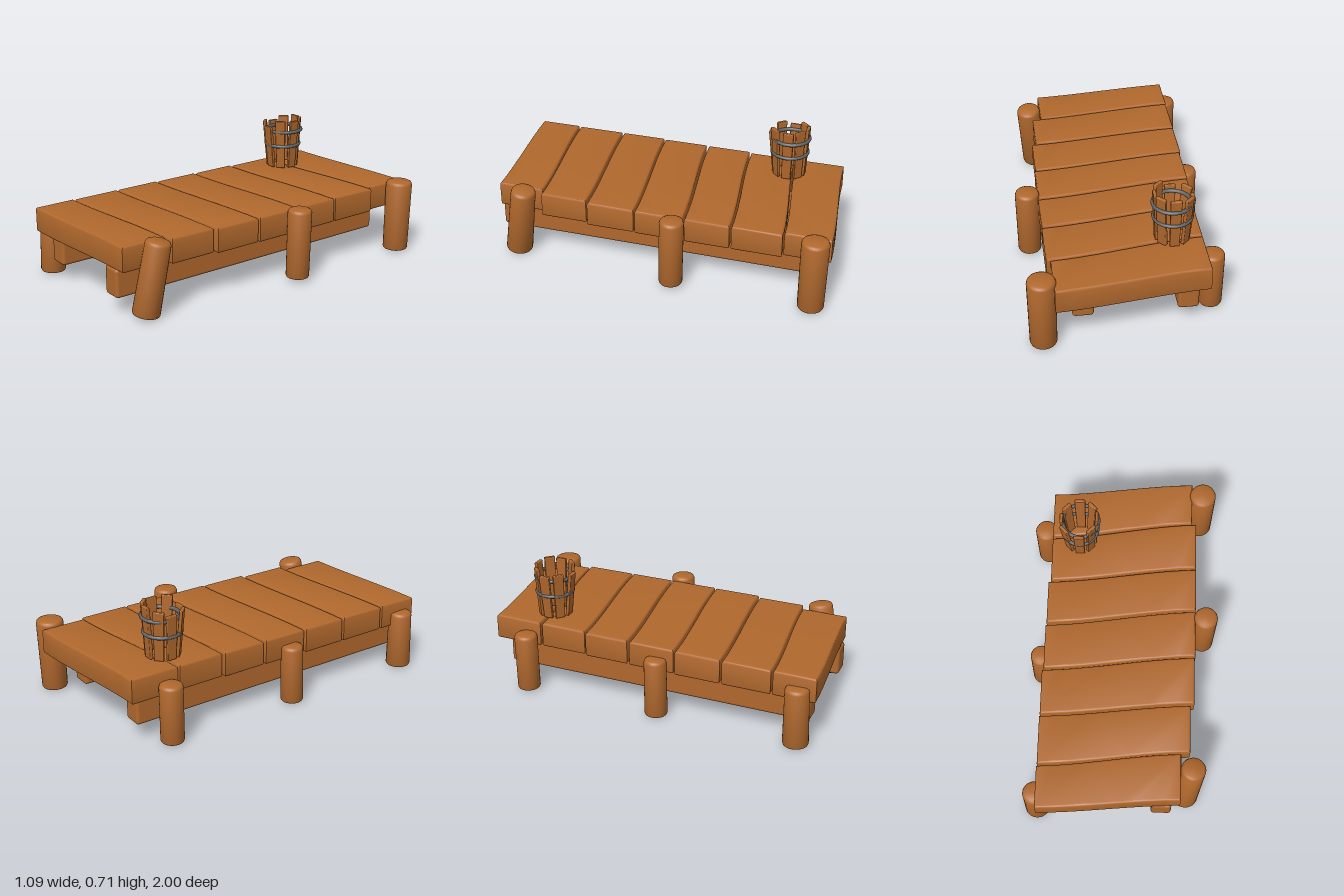
import * as THREE from 'three';
import { toCreasedNormals } from 'three/addons/utils/BufferGeometryUtils.js';
import { RoundedBoxGeometry } from 'three/addons/geometries/RoundedBoxGeometry.js';

const wood = new THREE.MeshStandardMaterial({ color: 0xb0682d });
wood.name = 'wood';
const iron = new THREE.MeshStandardMaterial({ color: 0x5f6468 });
iron.name = 'iron';

function addMesh(parent, name, geometry, material) {
  const mesh = new THREE.Mesh(geometry, material);
  mesh.name = name;
  parent.add(mesh);
  return mesh;
}

// Plank outline seen from above, with gently S-curved long edges
function plankGeometry([x0, x1, backL, backR, frontL, frontR]) {
  const b = 0.012, steps = 10;
  const ease = t => 0.45 * t + 0.55 * t * t * (3 - 2 * t);
  const edge = (a, c) => Array.from({ length: steps + 1 }, (_, i) => {
    const t = i / steps;
    return new THREE.Vector2(x0 + b + (x1 - x0 - 2 * b) * t, -(a + (c - a) * ease(t)));
  });
  const front = edge(frontL - b, frontR - b);
  const back = edge(backL + b, backR + b).reverse();
  const g = new THREE.ExtrudeGeometry(new THREE.Shape([...front, ...back]), {
    depth: 0.144 - 2 * b, bevelSize: b, bevelThickness: b, bevelSegments: 3
  });
  g.rotateX(-Math.PI / 2).translate(0, b, 0);
  return toCreasedNormals(g, 0.7);
}

// Round post with softened rims, running from a bottom to a top point
function addPost(parent, name, bottom, top, rBottom, rTop) {
  const a = new THREE.Vector3(...bottom), c = new THREE.Vector3(...top);
  const dir = c.clone().sub(a), h = dir.length(), e = 0.012;
  const profile = [
    [0, 0], [rBottom - e, 0], [rBottom - e * 0.3, e * 0.3], [rBottom, e],
    [rTop, h - e * 1.6], [rTop - e * 0.4, h - e * 0.5], [rTop - e * 1.4, h], [0, h]
  ].map(p => new THREE.Vector2(...p));
  const post = addMesh(parent, name, toCreasedNormals(new THREE.LatheGeometry(profile, 28), 0.8), wood);
  post.position.copy(a);
  post.quaternion.setFromUnitVectors(new THREE.Vector3(0, 1, 0), dir.normalize());
}

function createBucket() {
  const bucket = new THREE.Group();
  bucket.name = 'bucket';
  bucket.position.set(-0.272, 0.408, -0.62);
  // [height, top radius] of each stave, starting at the front and going toward +x
  const staves = [
    [0.26, 0.113], [0.3, 0.104], [0.295, 0.1], [0.302, 0.102],
    [0.298, 0.1], [0.285, 0.102], [0.262, 0.105], [0.275, 0.112]
  ];
  staves.forEach(([h, rTop], i) => {
    const g = new RoundedBoxGeometry(0.062, h, 0.02, 2, 0.005);
    const p = g.attributes.position;
    // Narrow each stave toward its foot
    for (let k = 0; k < p.count; k++) p.setX(k, p.getX(k) * (0.93 + 0.14 * p.getY(k) / h));
    g.translate(0, h / 2, 0);
    const pivot = new THREE.Group();
    pivot.name = 'stavePivot';
    pivot.rotation.y = i * Math.PI / 4;
    const stave = addMesh(pivot, 'stave', g, wood);
    stave.position.z = 0.084;
    stave.rotation.x = Math.atan2(rTop - 0.084, h);
    stave.rotation.z = [0, 0.02, -0.02, 0.015, 0, -0.02, 0.03, 0.04][i];
    bucket.add(pivot);
  });
  // Iron hoops
  [[0, 0.138, 0, 0.102], [0.006, 0.228, -0.006, 0.103]].forEach(([x, y, z, r]) => {
    const g = new THREE.TorusGeometry(r, 0.011, 10, 32).rotateX(Math.PI / 2);
    addMesh(bucket, 'hoop', g, iron).position.set(x, y, z);
  });
  return bucket;
}

export function createModel() {
  const model = new THREE.Group();
  model.name = 'dock';

  // Deck planks: left x, right x, back edge z (two ends), front edge z (two ends)
  const planks = [
    [-0.44, 0.388, -0.915, -1.0, -0.635, -0.74],
    [-0.44, 0.412, -0.622, -0.735, -0.355, -0.453],
    [-0.453, 0.412, -0.342, -0.442, -0.088, -0.187],
    [-0.457, 0.412, -0.072, -0.175, 0.19, 0.098],
    [-0.465, 0.407, 0.202, 0.108, 0.462, 0.38],
    [-0.467, 0.385, 0.475, 0.395, 0.75, 0.663],
    [-0.47, 0.335, 0.762, 0.675, 1.0, 0.938]
  ];
  planks.forEach((p, i) => {
    const plank = addMesh(model, 'plank', plankGeometry(p), wood);
    plank.position.y = 0.259;
    plank.rotation.z = i === 6 ? -0.008 : -0.004;
  });

  // Long support beams
  for (const x of [-0.333, 0.232]) {
    const beam = addMesh(model, 'beam', new RoundedBoxGeometry(0.115, 0.165, 1.81, 3, 0.018), wood);
    beam.position.set(x, 0.182, 0.045);
  }

  // Posts along both sides
  addPost(model, 'rightPost', [-0.478, 0.005, 0.905], [-0.478, 0.345, 0.9], 0.071, 0.066);
  addPost(model, 'rightPost', [-0.478, 0.005, 0.098], [-0.476, 0.345, 0.092], 0.064, 0.062);
  addPost(model, 'rightPost', [-0.482, 0.005, -0.702], [-0.484, 0.345, -0.706], 0.065, 0.065);
  addPost(model, 'leftPost', [0.37, 0.01, 0.826], [0.406, 0.422, 0.76], 0.076, 0.07);
  addPost(model, 'leftPost', [0.468, 0.018, -0.128], [0.472, 0.422, -0.135], 0.066, 0.068);
  addPost(model, 'leftPost', [0.45, 0.002, -0.915], [0.452, 0.425, -0.922], 0.073, 0.077);

  model.add(createBucket());
  return model;
}
